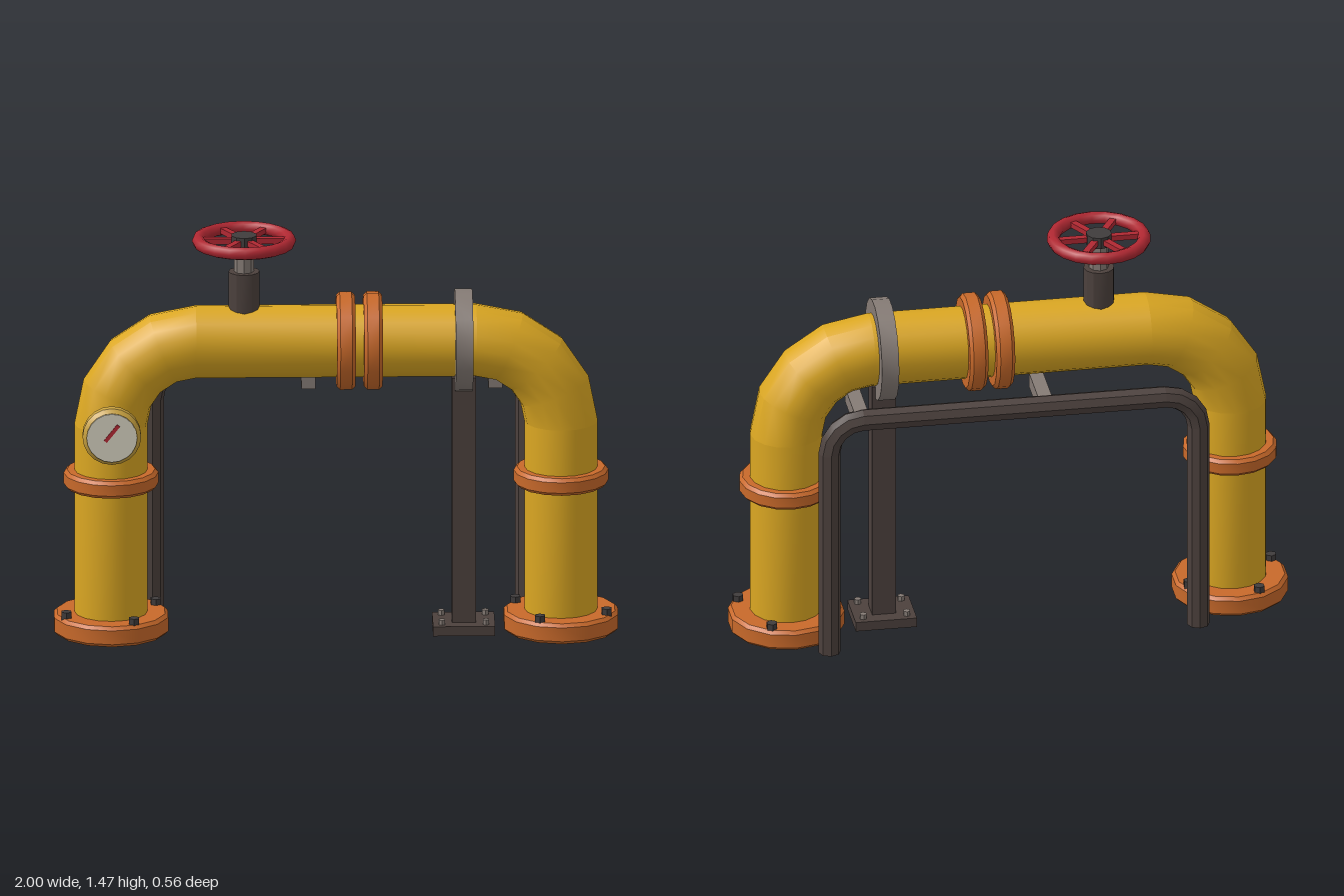
import * as THREE from 'three';
import { toCreasedNormals } from 'three/addons/utils/BufferGeometryUtils.js';

const mat = (name, color) => {
  const m = new THREE.MeshStandardMaterial({ color });
  m.name = name;
  return m;
};

export function createModel() {
  const model = new THREE.Group();
  model.name = 'pipeArch';
  const yellow = mat('yellow paint', 0xdba722);
  const orange = mat('orange paint', 0xc8692a);
  const red = mat('red paint', 0xb02832);
  const dark = mat('dark steel', 0x4c413d);
  const grey = mat('grey steel', 0x857b75);
  const bolt = mat('bolt steel', 0x403c3c);
  const brass = mat('brass', 0xc9a240);
  const cream = mat('dial cream', 0xd4cfbf);

  const Z = -0.008, LEG = 0.797, TOP = 1.07, PIPE = 0.13;
  const crease = (g) => toCreasedNormals(g, Math.PI / 6);

  function add(name, geo, material, x, y, z, parent = model) {
    const m = new THREE.Mesh(geo, material);
    m.name = name;
    m.position.set(x, y, z);
    parent.add(m);
    return m;
  }
  const cyl = (r, h, n) => crease(new THREE.CylinderGeometry(r, r, h, n));

  // Disc with chamfered rims, centred, axis along y
  function disc(r, h, n, c = 0.012) {
    const k = h / 2;
    const pts = [[0, -k], [r - c, -k], [r, -k + c], [r, k - c], [r - c, k], [0, k]];
    return crease(new THREE.LatheGeometry(pts.map((p) => new THREE.Vector2(...p)), n));
  }

  // Two legs, two quarter bends and a straight run
  function arch(name, material, o) {
    const g = new THREE.Group();
    g.name = name;
    const { x0, x1, y, y0, z, R, r, n } = o;
    const h = y - R - y0;
    for (const x of [x0, x1]) add(name + 'Leg', cyl(r, h, n), material, x, y0 + h / 2, z, g);
    const bend = () => crease(new THREE.TorusGeometry(R, r, n, 4, Math.PI / 2));
    add(name + 'BendLeft', bend(), material, x1 - R, y - R, z, g);
    add(name + 'BendRight', bend(), material, x0 + R, y - R, z, g).rotation.z = Math.PI / 2;
    add(name + 'Run', cyl(r, x1 - x0 - 2 * R, n), material, (x0 + x1) / 2, y, z, g).rotation.z = Math.PI / 2;
    model.add(g);
  }

  // Main pipe and the thin conduit behind it
  arch('mainPipe', yellow, { x0: -LEG, x1: LEG, y: TOP, y0: 0.02, z: Z, R: 0.3, r: PIPE, n: 16 });
  arch('conduit', dark, { x0: -0.645, x1: 0.68, y: 0.91, y0: 0, z: -0.237, R: 0.12, r: 0.04, n: 8 });

  // Foot flanges with bolts, and collars on the legs
  for (const s of [-1, 1]) {
    add('footFlange', disc(0.207, 0.075, 14), orange, s * LEG, 0.0375, Z);
    add('legCollar', disc(0.168, 0.063, 16), orange, s * LEG, 0.569, Z);
    for (let i = 0; i < 4; i++) {
      const a = THREE.MathUtils.degToRad(26 + 90 * i);
      add('flangeBolt', cyl(0.02, 0.03, 6), bolt,
        s * (LEG + 0.178 * Math.cos(a)), 0.082, Z + 0.178 * Math.sin(a));
    }
  }

  // Pair of joint flanges on the run
  for (const x of [0.034, 0.13]) add('jointFlange', disc(0.175, 0.066, 16), orange, x, TOP, Z).rotation.z = Math.PI / 2;

  // Support stand: clamp, post, base plate and bolts
  const SX = 0.452;
  add('supportClamp', cyl(0.183, 0.062, 18), grey, SX, TOP, Z).rotation.z = Math.PI / 2;
  add('supportPost', new THREE.BoxGeometry(0.085, 0.92, 0.08), dark, SX, 0.48, Z);
  add('supportPlate', new THREE.BoxGeometry(0.22, 0.035, 0.18), dark, SX, 0.0175, Z);
  for (const sx of [-1, 1]) for (const sz of [-1, 1]) {
    add('plateBolt', cyl(0.013, 0.02, 6), grey, SX + sx * 0.078, 0.043, Z + sz * 0.06);
  }

  // Brackets tying the conduit to the pipe
  for (const x of [-0.097, 0.565]) add('conduitBracket', new THREE.BoxGeometry(0.05, 0.055, 0.2), grey, x, 0.912, -0.13);

  // Valve: bonnet, stem and handwheel
  const VX = -0.326;
  add('valveBonnet', cyl(0.055, 0.19, 12), dark, VX, 1.235, Z);
  add('valveStem', cyl(0.035, 0.11, 8), grey, VX, 1.375, Z);
  const wheel = new THREE.Group();
  wheel.name = 'handwheel';
  wheel.position.set(VX, 1.443, Z);
  add('wheelRim', new THREE.TorusGeometry(0.162, 0.023, 8, 20), red, 0, 0, 0, wheel).rotation.x = Math.PI / 2;
  add('wheelHub', cyl(0.046, 0.042, 10), bolt, 0, 0, 0, wheel);
  for (let i = 0; i < 3; i++) {
    add('wheelSpokes', new THREE.BoxGeometry(0.32, 0.02, 0.024), red, 0, 0, 0, wheel).rotation.y = i * Math.PI / 3;
  }
  model.add(wheel);

  // Pressure gauge on the right leg
  const GX = -0.8, GY = 0.8;
  add('gaugeStem', cyl(0.034, 0.16, 8), grey, GX, GY, 0.15).rotation.x = Math.PI / 2;
  add('gaugeCase', disc(0.104, 0.058, 20, 0.014), brass, GX, GY, 0.241).rotation.x = Math.PI / 2;
  add('gaugeDial', cyl(0.089, 0.006, 20), cream, GX, GY, 0.272).rotation.x = Math.PI / 2;
  add('gaugeNeedle', new THREE.BoxGeometry(0.075, 0.013, 0.005), red, GX, GY + 0.018, 0.2765).rotation.z = 0.9;

  return model;
}
